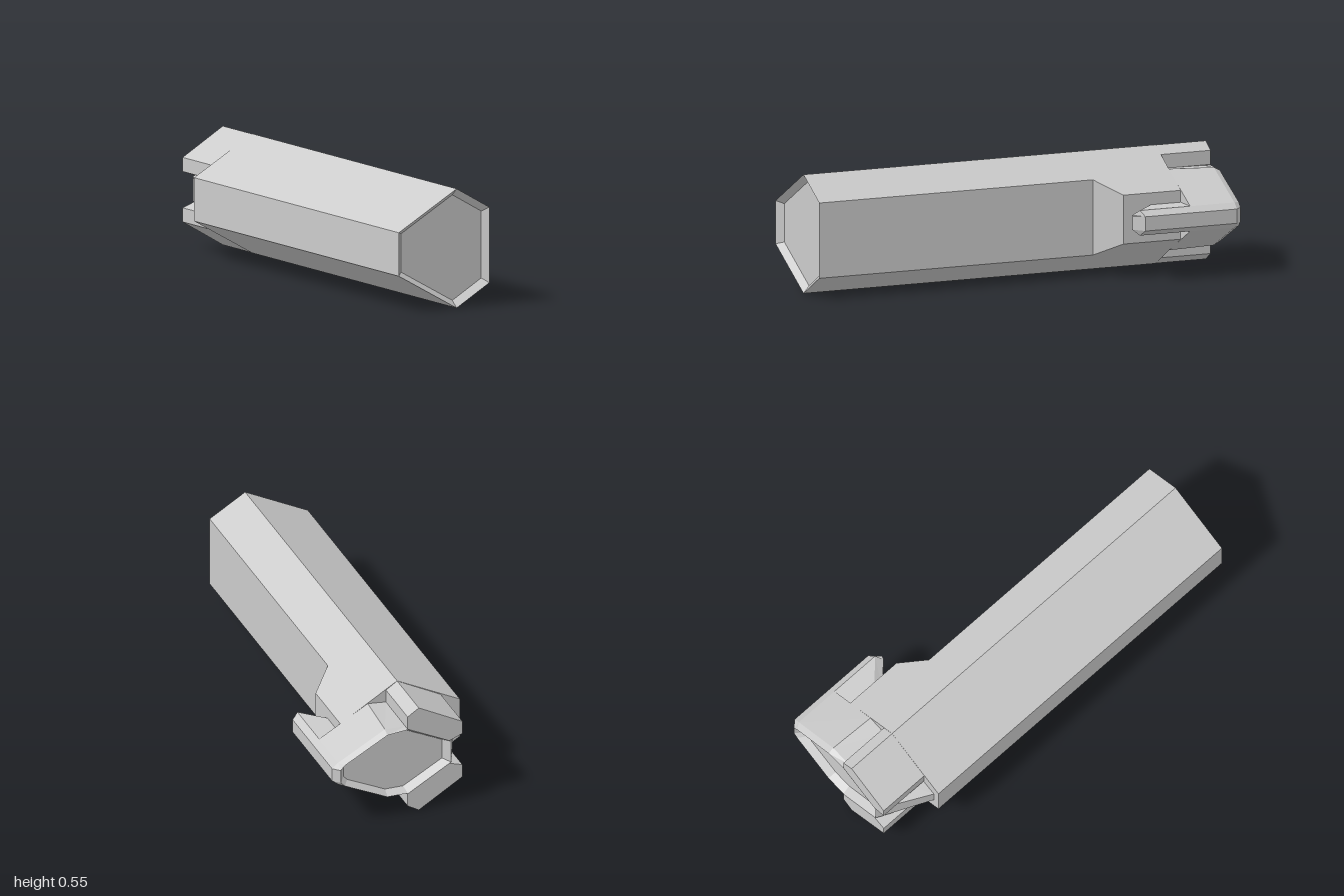
import * as THREE from 'three';

const CY = 0.2765; // height of the long axis
const material = new THREE.MeshStandardMaterial({ color: 0xcccccc, flatShading: true });

// Skin a list of equal-length rings (clockwise from the front, front to back) and cap both ends
function loft(name, rings) {
  const out = [];
  const tri = (a, b, c) => out.push(...a, ...b, ...c);
  const n = rings[0].length;
  for (let k = 0; k < rings.length - 1; k++) {
    const p = rings[k], q = rings[k + 1];
    for (let i = 0; i < n; i++) {
      const j = (i + 1) % n;
      tri(p[i], p[j], q[j]);
      tri(p[i], q[j], q[i]);
    }
  }
  const middle = (r) => [0, 1, 2].map((a) => r.reduce((s, v) => s + v[a], 0) / n);
  const first = rings[0], last = rings[rings.length - 1];
  const mf = middle(first), ml = middle(last);
  for (let i = 0; i < n; i++) {
    const j = (i + 1) % n;
    tri(mf, first[j], first[i]);
    tri(ml, last[i], last[j]);
  }
  const g = new THREE.BufferGeometry();
  g.setAttribute('position', new THREE.Float32BufferAttribute(out, 3));
  g.computeVertexNormals();
  const mesh = new THREE.Mesh(g, material);
  mesh.name = name;
  return mesh;
}

// Mirror an upper half outline [x, height above axis, optional z] into a full ring
function ring(half, z) {
  const top = half.map(([x, h, pz = z]) => [x, CY + h, pz]);
  const bottom = half.map(([x, h, pz = z]) => [x, CY - h, pz]).reverse();
  return [...top, ...bottom];
}

// Shrink a ring towards (cx, axis) and move it to another depth
const inset = (r, cx, s, z) => r.map(([x, y]) => [cx + (x - cx) * s, CY + (y - CY) * s, z]);

export function createModel() {
  const model = new THREE.Group();

  // Six-sided body with a recessed front; its right face steps outward near the back
  const bodyHalf = (x, h) => [[-0.365, 0.1], [-0.055, 0.2745], [-0.055, 0.2745], [x, h]];
  const hex = (x, h, z) => ring(bodyHalf(x, h).filter((_, i) => i !== 2), z);
  const front = hex(0.12, 0.174, 1);
  model.add(loft('body', [
    inset(front, -0.097, 0.885, 0.97),
    front,
    hex(0.12, 0.174, -0.36),
    hex(0.225, 0.113, -0.465),
    hex(0.225, 0.113, -0.75),
  ]));

  // Tapered tail with a recessed end
  const tailEnd = ring([[-0.215, 0.056], [0, 0.17], [0.1, 0.165], [0.31, 0.055], [0.33, 0.033]], -1);
  model.add(loft('tail', [
    ring([[-0.335, 0.038], [0, 0.175], [0.09, 0.188], [0.33, 0.058], [0.36, 0.033]], -0.75),
    ring([[-0.23, 0.054], [0, 0.171], [0.1, 0.18], [0.33, 0.058], [0.36, 0.033]], -0.97),
    tailEnd,
    inset(tailEnd, 0.05, 0.89, -0.96),
  ]));

  // Side hook with a slanted, chamfered nose
  model.add(loft('sideHook', [
    ring([[0.2, 0.033, -0.575], [0.3, 0.033, -0.475], [0.315, 0.031, -0.47]]),
    ring([[0.2, 0.058, -0.625], [0.33, 0.058, -0.5], [0.36, 0.033, -0.515]]),
    ring([[0.2, 0.058], [0.33, 0.058], [0.36, 0.033]], -0.76),
  ]));

  // Upper and lower chamfered locking bars
  const bar = [[-0.27, 0.425], [-0.055, 0.55], [0, 0.515], [0, 0.45], [-0.206, 0.337], [-0.27, 0.36]];
  const mirrored = bar.map(([x, y]) => [x, 2 * CY - y]).reverse();
  for (const [name, outline] of [['upperBar', bar], ['lowerBar', mirrored]]) {
    model.add(loft(name, [-0.72, -1].map((z) => outline.map(([x, y]) => [x, y, z]))));
  }

  return model;
}
